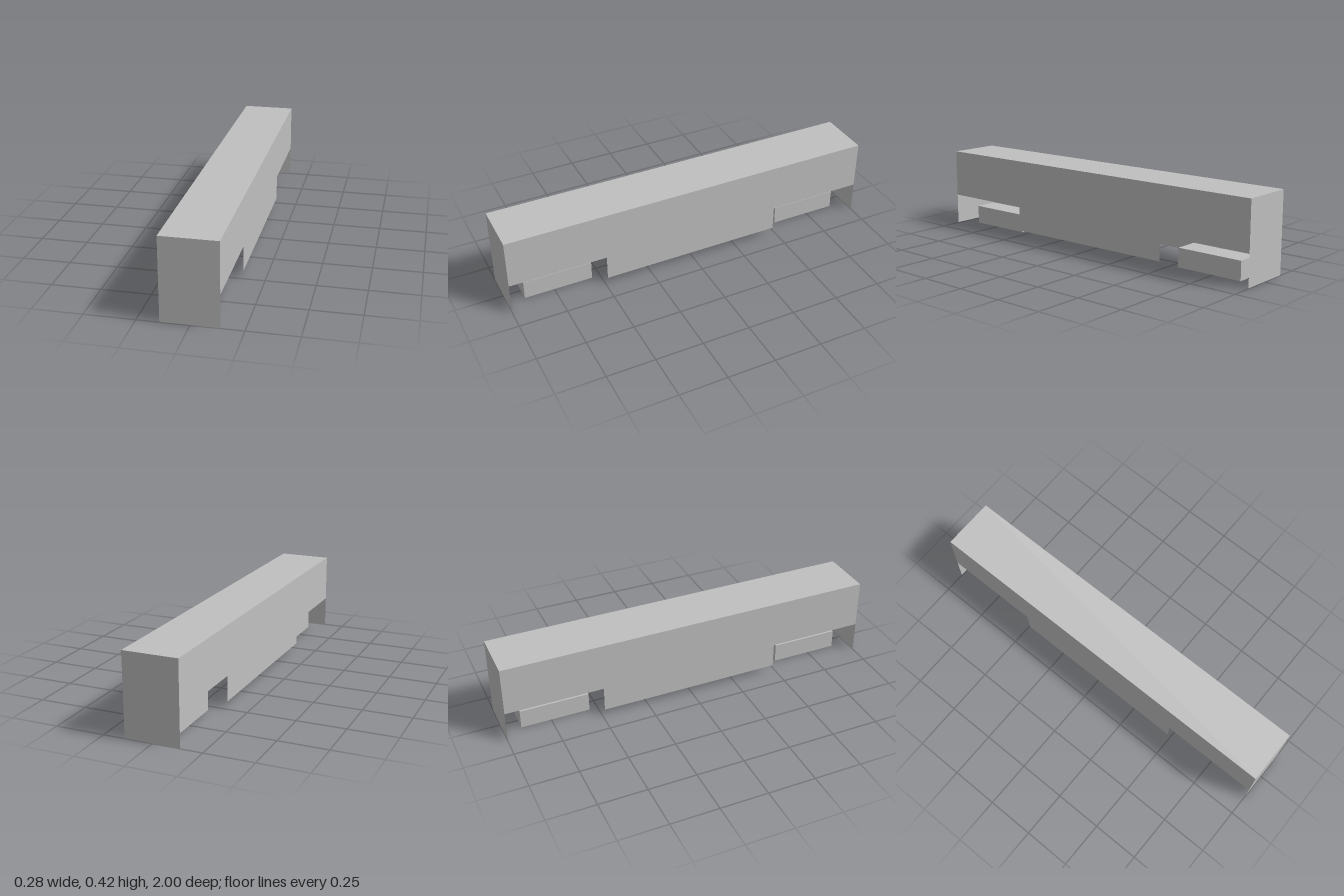
import * as THREE from 'three';

const HALF_WIDTH = 0.14;
const TOP = 0.423;
const END_BOTTOM = 0.002;

export function createModel() {
  const model = new THREE.Group();
  model.name = 'railCar';

  const grey = new THREE.MeshStandardMaterial({ color: 0xc0c0c0, side: THREE.DoubleSide });
  grey.name = 'light grey';

  const add = (name, geometry, x, y, z) => {
    const mesh = new THREE.Mesh(geometry, grey);
    mesh.name = name;
    mesh.position.set(x, y, z);
    model.add(mesh);
  };

  // Side wall outline: full-length upper band with a deeper middle skirt
  const outline = new THREE.Shape([
    [-1, TOP], [-1, 0.167], [-0.486, 0.167], [-0.486, 0.035],
    [0.486, 0.035], [0.486, 0.167], [1, 0.167], [1, TOP],
  ].map(([z, y]) => new THREE.Vector2(z, y)));

  // Open-bottomed body shell: two sides, two ends and a roof
  for (const s of [-1, 1]) {
    add(s > 0 ? 'leftSide' : 'rightSide',
      new THREE.ShapeGeometry(outline).rotateY(s * Math.PI / 2), s * HALF_WIDTH, 0, 0);

    const end = new THREE.PlaneGeometry(2 * HALF_WIDTH, TOP - END_BOTTOM);
    if (s < 0) end.rotateY(Math.PI);
    add(s > 0 ? 'frontEnd' : 'backEnd', end, 0, (TOP + END_BOTTOM) / 2, s);

    // Wheel truck block in the notch
    add(s > 0 ? 'frontTruck' : 'backTruck',
      new THREE.BoxGeometry(0.126, 0.1, 0.364), 0, 0.05, s * 0.726);
  }
  add('roof', new THREE.PlaneGeometry(2 * HALF_WIDTH, 2).rotateX(-Math.PI / 2), 0, TOP, 0);

  return model;
}
